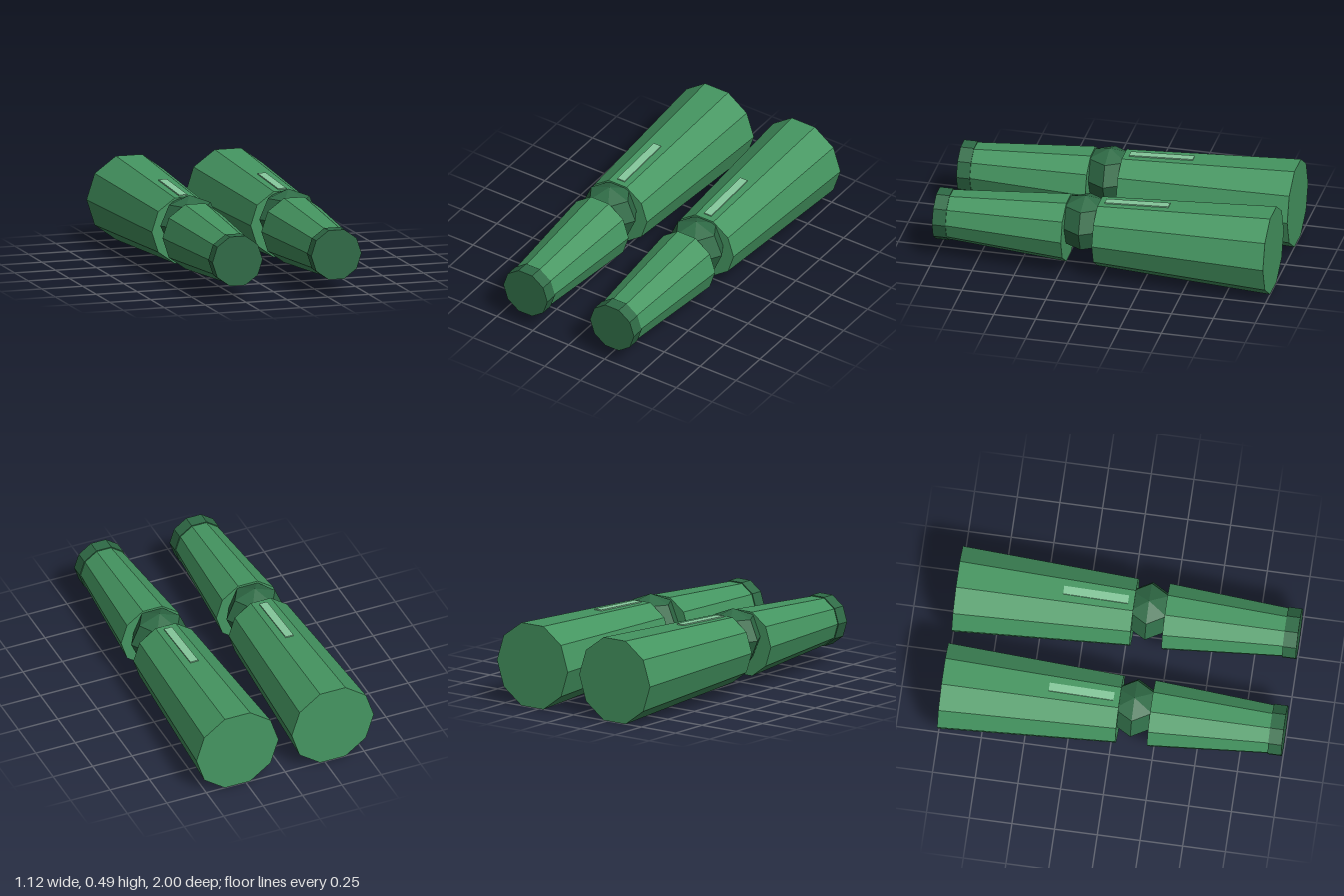
import * as THREE from 'three';

const CENTER_X = 0.302, CENTER_Y = 0.248;

function material(name, color) {
  const m = new THREE.MeshStandardMaterial({ color, flatShading: true });
  m.name = name;
  return m;
}

function part(name, geometry, mat) {
  const mesh = new THREE.Mesh(geometry, mat);
  mesh.name = name;
  return mesh;
}

// Ten-sided tapered segment along z, with a flat facet on top
function segment(zBack, zFront, rBack, rFront) {
  const g = new THREE.CylinderGeometry(rFront, rBack, zFront - zBack, 10, 1, false, Math.PI / 2);
  g.rotateX(Math.PI / 2);
  g.translate(0, CENTER_Y, (zFront + zBack) / 2);
  return g;
}

function buildLeg(green, darkGreen, mint) {
  const leg = new THREE.Group();
  leg.add(part('thigh', segment(-1, 0.035, 0.26, 0.204), green));
  leg.add(part('shin', segment(0.22, 0.92, 0.2, 0.147), green));
  leg.add(part('ankleCuff', segment(0.92, 1, 0.153, 0.153), darkGreen));

  // Faceted knee, set slightly above the leg axis
  const knee = new THREE.SphereGeometry(0.18, 6, 4);
  knee.scale(1, 0.95, 1);
  knee.translate(0, 0.3, 0.12);
  leg.add(part('knee', knee, darkGreen));

  // Thin strip lying on the sloping top facet of the thigh
  const strip = part('thighStripe', new THREE.BoxGeometry(0.05, 0.009, 0.38), mint);
  strip.position.set(0, CENTER_Y + 0.208, -0.19);
  strip.rotation.x = Math.atan(0.951 * 0.056 / 1.035);
  leg.add(strip);
  return leg;
}

export function createModel() {
  const model = new THREE.Group();
  model.name = 'legs';
  const green = material('green', 0x459661);
  const darkGreen = material('dark green', 0x2f6b46);
  const mint = material('mint', 0x86c99c);
  for (const side of [1, -1]) {
    const leg = buildLeg(green, darkGreen, mint);
    leg.name = side > 0 ? 'leftLeg' : 'rightLeg';
    leg.position.x = side * CENTER_X;
    model.add(leg);
  }
  return model;
}
